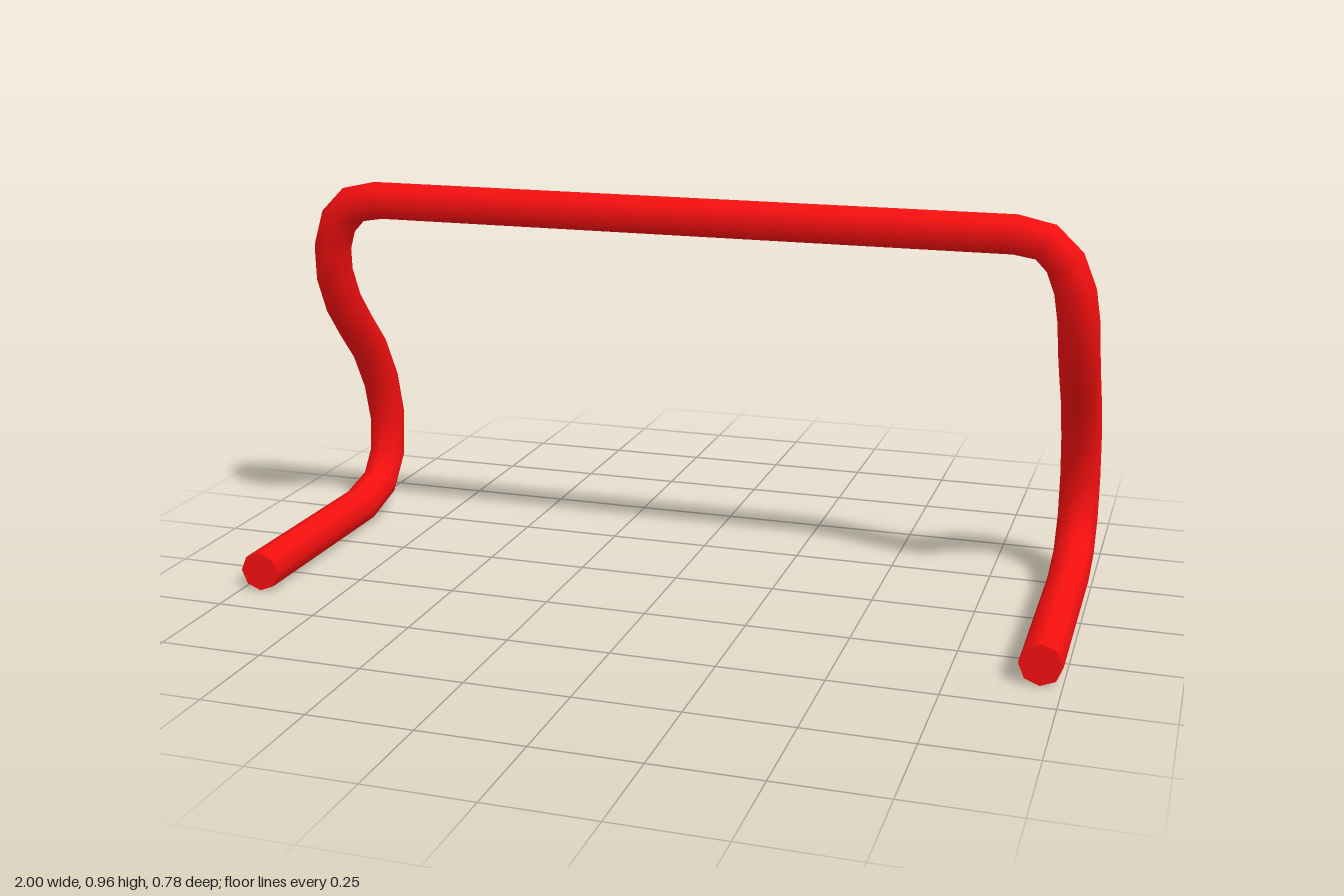
import * as THREE from 'three';

const RADIUS = 0.049;
const SIDES = 8;

// Curve whose samples fall exactly on the given bend points
class BendPath extends THREE.Curve {
  constructor(points) {
    super();
    this.points = points;
  }
  getPointAt(u, target = new THREE.Vector3()) {
    const f = u * (this.points.length - 1);
    const i = Math.min(Math.floor(f + 1e-6), this.points.length - 2);
    return target.lerpVectors(this.points[i], this.points[i + 1], f - i);
  }
  getPoint(t, target) {
    return this.getPointAt(t, target);
  }
  // Mean direction of the two neighbouring segments
  getTangentAt(u, target = new THREE.Vector3()) {
    const p = this.points;
    const i = Math.round(u * (p.length - 1));
    const dir = (a, b) => new THREE.Vector3().subVectors(p[b], p[a]).normalize();
    target.set(0, 0, 0);
    if (i > 0) target.add(dir(i - 1, i));
    if (i < p.length - 1) target.add(dir(i, i + 1));
    return target.normalize();
  }
}

export function createModel() {
  const group = new THREE.Group();
  group.name = 'tubularFrame';
  const material = new THREE.MeshStandardMaterial({ color: 0xf50f0f });

  // Left half: foot, curved leg, upper corner
  const half = [
    [0.951, 0.05, 0.39], [0.951, 0.05, -0.157], [0.951, 0.08, -0.274],
    [0.951, 0.152, -0.33], [0.951, 0.254, -0.339], [0.951, 0.362, -0.31],
    [0.951, 0.467, -0.25], [0.951, 0.545, -0.178], [0.951, 0.622, -0.113],
    [0.95, 0.707, -0.07], [0.94, 0.785, -0.048], [0.915, 0.853, -0.038],
    [0.87, 0.898, -0.035], [0.8, 0.912, -0.035],
  ].map((p) => new THREE.Vector3(...p));
  const mirrored = half.map((p) => new THREE.Vector3(-p.x, p.y, p.z)).reverse();
  const points = [...half, ...mirrored];

  // One bent tube from foot to foot
  const tube = new THREE.Mesh(
    new THREE.TubeGeometry(new BendPath(points), points.length - 1, RADIUS, SIDES),
    material,
  );
  tube.name = 'bentTube';
  group.add(tube);

  // Flat caps on the front ends of the feet
  for (const [name, x] of [['leftEndCap', 0.951], ['rightEndCap', -0.951]]) {
    const cap = new THREE.Mesh(new THREE.CircleGeometry(RADIUS, SIDES), material);
    cap.name = name;
    cap.position.set(x, 0.05, 0.39);
    group.add(cap);
  }
  return group;
}
